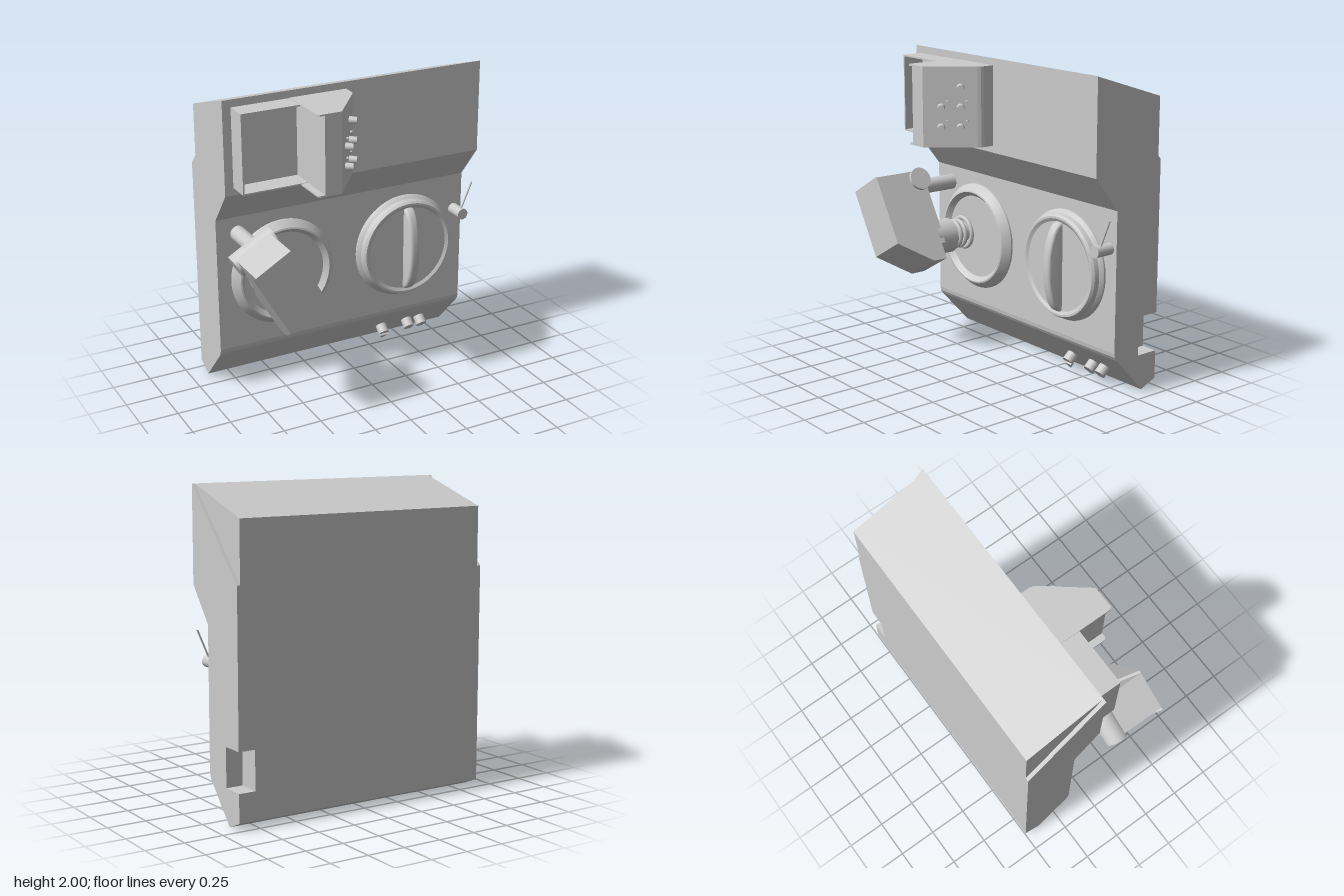
import * as THREE from 'three';
import { toCreasedNormals } from 'three/addons/utils/BufferGeometryUtils.js';

const material = new THREE.MeshStandardMaterial({ color: 0xcccccc });

function add(parent, name, geometry, x = 0, y = 0, z = 0) {
  const mesh = new THREE.Mesh(geometry, material);
  mesh.name = name;
  mesh.position.set(x, y, z);
  parent.add(mesh);
  return mesh;
}

const shapeOf = (points) => new THREE.Shape(points.map(([x, y]) => new THREE.Vector2(x, y)));

// Prism along x from a [z, y] outline
function sidePrism(points, x0, x1) {
  const g = new THREE.ExtrudeGeometry(shapeOf(points.map(([z, y]) => [-z, y])), { depth: x1 - x0, bevelEnabled: false });
  return g.rotateY(Math.PI / 2).translate(x0, 0, 0);
}

// Prism along y from an [x, z] outline
function planPrism(points, y0, y1) {
  const g = new THREE.ExtrudeGeometry(shapeOf(points.map(([x, z]) => [x, -z])), { depth: y1 - y0, bevelEnabled: false });
  return g.rotateX(-Math.PI / 2).translate(0, y0, 0);
}

// Cylinder from point a to point b
function rod(parent, name, a, b, r0, r1 = r0, sides = 24) {
  const from = new THREE.Vector3(...a), to = new THREE.Vector3(...b);
  const dir = to.clone().sub(from);
  const mesh = add(parent, name, new THREE.CylinderGeometry(r1, r0, dir.length(), sides));
  mesh.position.copy(from).addScaledVector(dir, 0.5);
  mesh.quaternion.setFromUnitVectors(new THREE.Vector3(0, 1, 0), dir.normalize());
  return mesh;
}

// Turned part facing +z from [radius, height] points
function turned(points) {
  const g = new THREE.LatheGeometry(points.map(([r, h]) => new THREE.Vector2(r, h)), 64);
  return toCreasedNormals(g.rotateX(Math.PI / 2), 0.5);
}

export function createModel() {
  const model = new THREE.Group();
  model.name = 'controlConsole';

  // Cabinet: main body, notched right-hand end and narrower upper back wedge
  const cabinet = new THREE.Group();
  cabinet.name = 'cabinet';
  model.add(cabinet);
  const front = [[-0.5, 0.05], [-0.385, 0], [-0.17, 0.235], [-0.155, 0.258], [-0.15, 0.285], [-0.15, 1.18], [0.025, 1.4], [0.025, 2], [-0.5, 1.45]];
  const notch = [[-0.5, 0.48], [-0.35, 0.48], [-0.35, 0.23], [-0.5, 0.23]];
  add(cabinet, 'cabinetBody', sidePrism(front, -0.885, 0.78));
  add(cabinet, 'cabinetNotchedEnd', sidePrism([...front, ...notch], 0.78, 0.89));
  add(cabinet, 'cabinetBackWedge', sidePrism([[0.025, 2], [-0.5, 1.45], [-0.5, 1.83]], -0.86, 0.87));

  // Left dial with raised rim and sunken plate
  add(model, 'leftDial', turned([[0.355, 0], [0.355, 0.012], [0.35, 0.02], [0.315, 0.06], [0.305, 0.063], [0.275, 0.03], [0, 0.03]]), -0.44, 0.75, -0.15);

  // Right dial with crescent handle
  const rightDial = new THREE.Group();
  rightDial.name = 'rightDial';
  rightDial.position.set(0.445, 0.75, -0.15);
  model.add(rightDial);
  add(rightDial, 'dialCap', turned([[0.355, 0], [0.355, 0.012], [0.35, 0.02], [0.335, 0.035], [0.33, 0.065], [0.318, 0.08], [0.305, 0.08], [0.285, 0.068], [0, 0.068]]));
  const crescent = [];
  for (let i = 0; i <= 20; i++) {
    const a = Math.PI * (i / 20 - 0.5);
    crescent.push([-0.06 - 0.095 * Math.cos(a), 0.27 * Math.sin(a)]);
  }
  const handle = new THREE.ExtrudeGeometry(shapeOf(crescent), { depth: 0.03, bevelSize: 0.02, bevelThickness: 0.02, bevelSegments: 4 });
  handle.rotateY(Math.PI / 2).translate(-0.015, 0, 0);
  add(rightDial, 'dialHandle', toCreasedNormals(handle, 0.6));

  // Small lever
  rod(model, 'leverPivot', [0.83, 0.937, -0.15], [0.83, 0.937, -0.025], 0.037);
  rod(model, 'leverRod', [0.835, 0.95, -0.065], [0.917, 1.14, -0.065], 0.006, 0.006, 8);

  // Knobs on the lower sloping edge
  const down = [0, -0.675, 0.738];
  for (const x of [0.36, 0.56, 0.66]) {
    const base = [x, 0.105, -0.29];
    rod(model, 'lowerKnob', base, base.map((v, i) => v + down[i] * 0.062), 0.037);
  }
  const pointer = planPrism([[-0.035, 0], [0, 0.05], [0.035, 0]], 0, 0.03);
  const pointerMesh = add(model, 'knobPointer', pointer, 0.36, 0.07, -0.262);
  pointerMesh.quaternion.setFromUnitVectors(new THREE.Vector3(0, 1, 0), new THREE.Vector3(...down));

  // Screen frame, open at the front
  const display = new THREE.Group();
  display.name = 'displayUnit';
  model.add(display);
  const frame = shapeOf([[-0.83, 1.448], [-0.4, 1.448], [-0.4, 1.952], [-0.83, 1.952]]);
  frame.holes.push(shapeOf([[-0.82, 1.457], [-0.82, 1.943], [-0.405, 1.943], [-0.405, 1.457]]));
  add(display, 'screenFrame', new THREE.ExtrudeGeometry(frame, { depth: 0.155, bevelEnabled: false }), 0, 0, 0.015);

  // Button block with overhanging lids
  const slope = [[-0.295, 0.403], [-0.085, 0.135], [-0.074, 0.115], [-0.07, 0.095], [-0.07, 0.015]];
  add(display, 'buttonBlock', planPrism([[-0.405, 0.015], [-0.405, 0.403], ...slope], 1.455, 1.945));
  for (const y of [1.445, 1.945]) {
    add(display, 'blockLid', planPrism([[-0.45, 0.015], [-0.45, 0.39], [-0.437, 0.403], ...slope], y, y + 0.01));
  }

  // Buttons and indicator lamps on the slanted face
  const out = [0.787, 0, 0.617];
  const stud = (name, x, y, length, r) => {
    const base = [x, y, 0.403 - (x + 0.295) * 1.276];
    rod(display, name, base, base.map((v, i) => v + out[i] * length), r, r * 0.85, 16);
  };
  stud('button', -0.15, 1.825, 0.05, 0.025);
  for (const y of [1.7, 1.575]) {
    for (const x of [-0.225, -0.15]) {
      stud('button', x, y, 0.05, 0.025);
      stud('indicatorLamp', x + 0.025, y + 0.037, 0.012, 0.01);
    }
  }

  // Tilted arm head: a beveled box with a narrower upper wedge
  const arm = new THREE.Group();
  arm.name = 'armHead';
  arm.position.set(-0.8, 1.133, 0);
  arm.rotation.z = Math.PI / 6;
  model.add(arm);
  add(arm, 'headBody', sidePrism([[0.18, -0.3], [0.18, -0.62], [0.28, -0.62], [0.51, -0.46], [0.51, 0]], -0.148, 0.148));
  add(arm, 'headWedge', sidePrism([[0.18, 0], [0.18, -0.3], [0.51, 0]], -0.13, 0.13));
  add(arm, 'headBackPlate', new THREE.BoxGeometry(0.24, 0.42, 0.05), 0, -0.3, 0.155);
  rod(arm, 'hingeCylinder', [-0.15, -0.06, 0.18], [0.15, -0.06, 0.18], 0.075, 0.075, 32);

  // Post and hub joining the arm to the cabinet
  rod(model, 'armPost', [-0.74, 1.07, -0.15], [-0.74, 1.07, 0.16], 0.05);
  rod(model, 'hubBarrel', [-0.57, 0.755, 0.01], [-0.57, 0.755, 0.18], 0.115, 0.115, 32);
  rod(model, 'hubCore', [-0.57, 0.755, -0.13], [-0.57, 0.755, 0.02], 0.065);
  for (const [r, z] of [[0.1, -0.11], [0.085, -0.07], [0.085, -0.03]]) {
    add(model, 'hubRing', new THREE.TorusGeometry(r, 0.015, 10, 32), -0.57, 0.755, z);
  }
  return model;
}
